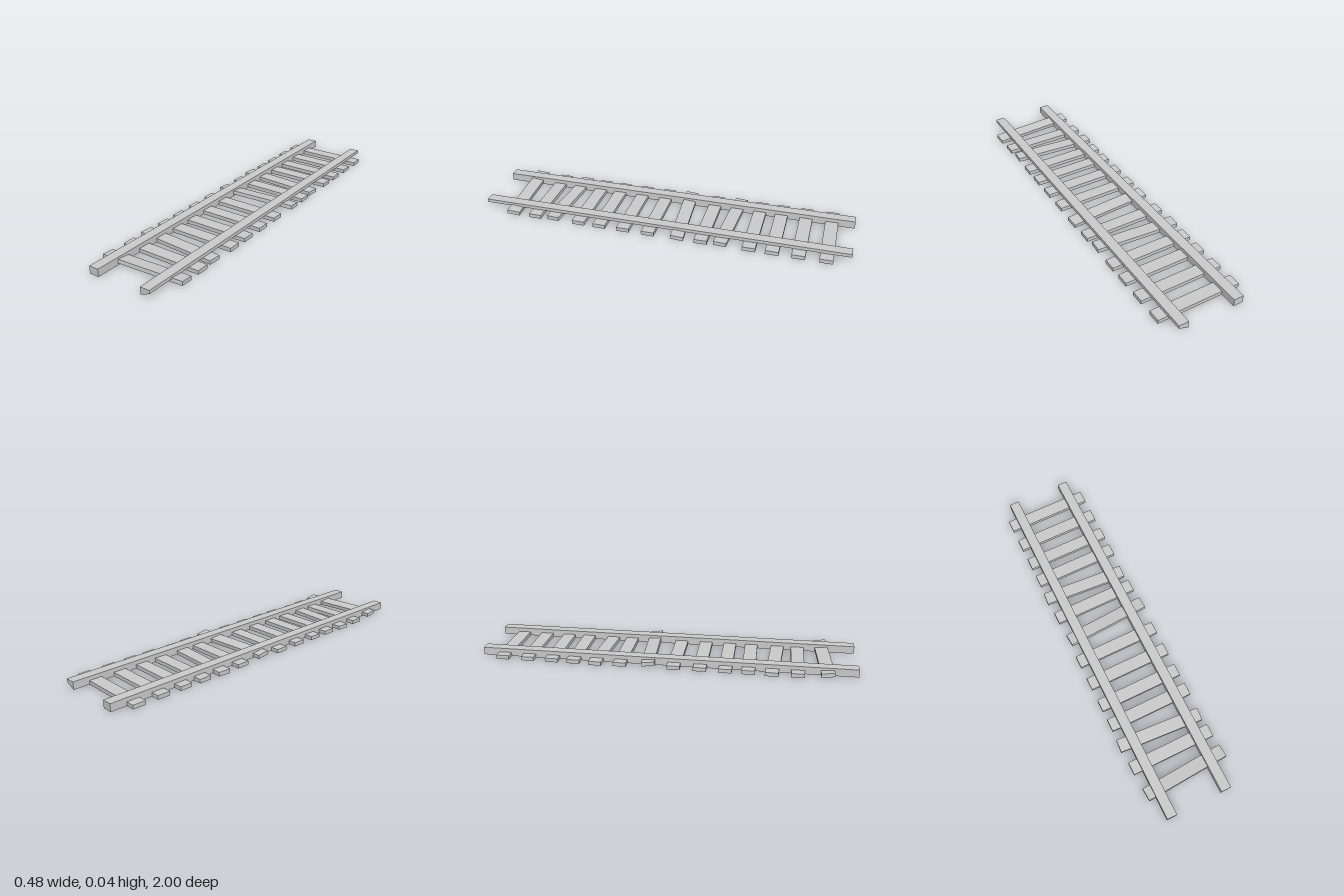
import * as THREE from 'three';

export function createModel() {
  const track = new THREE.Group();
  track.name = 'railTrack';
  const material = new THREE.MeshStandardMaterial({ color: 0xcccccc, flatShading: true });

  const add = (name, geometry) => {
    const mesh = new THREE.Mesh(geometry, material);
    mesh.name = name;
    track.add(mesh);
    return mesh;
  };

  // Rails: a cross-section extruded along the full length
  const addRail = (name, points) => {
    const shape = new THREE.Shape(points.map(([x, y]) => new THREE.Vector2(x, y)));
    const geometry = new THREE.ExtrudeGeometry(shape, { depth: 2, bevelEnabled: false });
    add(name, geometry.translate(0, 0, -1));
  };
  addRail('rightRail', [[-0.185, 0.001], [-0.131, 0.001], [-0.131, 0.042], [-0.185, 0.042]]);
  // The left rail has a slanted underside
  addRail('leftRail', [[0.125, 0.001], [0.179, 0.024], [0.179, 0.042], [0.125, 0.042]]);

  // Sleepers: two repeats of seven, with two of each set knocked askew
  const sleeper = new THREE.BoxGeometry(0.462, 0.021, 0.069);
  const pattern = [
    { z: -0.878 }, { z: -0.74 }, { z: -0.607 }, { z: -0.488 },
    { z: -0.353, x: -0.008, yaw: -0.07 },
    { z: -0.236 },
    { z: -0.098, x: 0.006, y: 0.0178, yaw: 0.06, tilt: -0.1 },
  ];
  for (let set = 0; set < 2; set++) {
    for (const { z, x = -0.001, y = 0.0105, yaw = 0, tilt = 0 } of pattern) {
      const mesh = add('sleeper', sleeper);
      mesh.position.set(x, y, z + set * 0.928);
      mesh.rotation.set(tilt, yaw, 0);
    }
  }
  return track;
}
